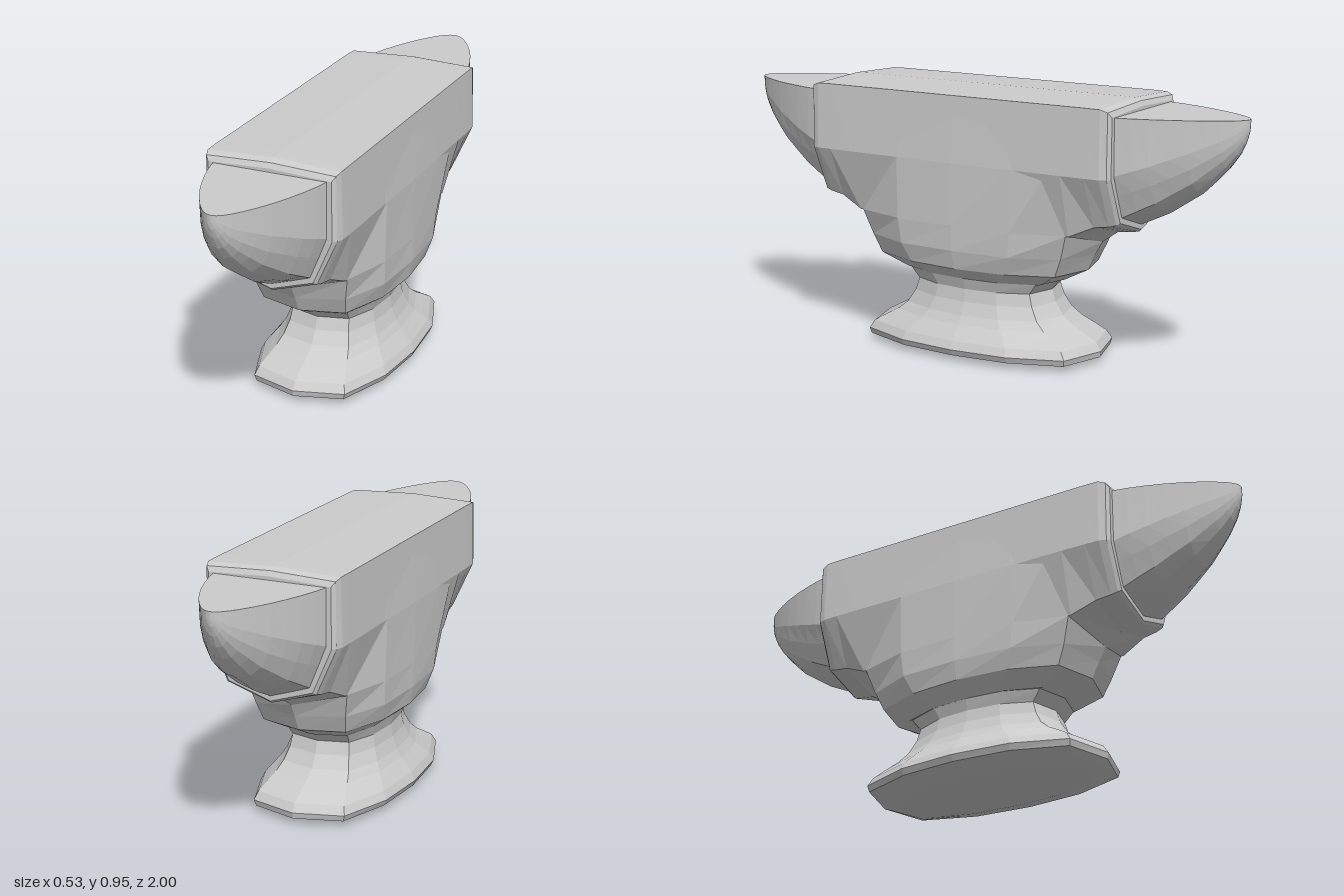
import * as THREE from 'three';

const material = new THREE.MeshStandardMaterial({ color: 0xcccccc, flatShading: true });

// Skin a list of closed rings of [x, y, z] points and cap both ends.
function loft(name, rings) {
  const n = rings[0].length, last = rings.length - 1;
  const pos = rings.flat(2), idx = [];
  for (let i = 0; i < last; i++) {
    for (let j = 0; j < n; j++) {
      const k = (j + 1) % n;
      const a = i * n + j, b = i * n + k, c = b + n, d = a + n;
      idx.push(a, b, c, a, c, d);
    }
  }
  for (const r of [0, last]) {
    const centre = pos.length / 3;
    for (let c = 0; c < 3; c++) pos.push(rings[r].reduce((s, p) => s + p[c], 0) / n);
    for (let j = 0; j < n; j++) {
      const a = r * n + j, b = r * n + (j + 1) % n;
      if (r === 0) idx.push(centre, b, a); else idx.push(centre, a, b);
    }
  }
  const g = new THREE.BufferGeometry();
  g.setAttribute('position', new THREE.Float32BufferAttribute(pos, 3));
  g.setIndex(idx);
  g.computeVertexNormals();
  const mesh = new THREE.Mesh(g, material);
  mesh.name = name;
  return mesh;
}

// Close a half ring (first and last point on x = 0) by mirroring it in x.
const mirrorX = half => [
  ...half,
  ...half.slice(1, -1).reverse().map(([x, y, z]) => [-x, y, z]),
];

// Twelve-sided horizontal ring from its front, corner, flank and side points.
function planRing(front, corner, flank, side) {
  const back = [flank, corner, front].map(([x, y, z]) => [x, y, -z]);
  return mirrorX([front, corner, flank, side, ...back]);
}
const footRing = ([y, x, z]) =>
  planRing([0, y, z], [x * 0.66, y, z * 0.89], [x * 0.93, y, z * 0.47], [x, y, 0]);

// Foot and neck: y, half width, half length
const FOOT = [
  [0.002, 0.17, 0.38], [0.01, 0.2, 0.42], [0.024, 0.255, 0.455], [0.046, 0.265, 0.46],
  [0.075, 0.25, 0.44], [0.1, 0.23, 0.395], [0.125, 0.21, 0.345], [0.155, 0.192, 0.305],
  [0.2, 0.174, 0.275], [0.245, 0.166, 0.26], [0.285, 0.178, 0.295],
];

// Waist that flares from the neck up into the block
const WAIST = [
  footRing([0.285, 0.178, 0.31]),
  footRing([0.333, 0.238, 0.405]),
  planRing([0, 0.39, 0.432], [0.17, 0.4, 0.39], [0.24, 0.4, 0.22], [0.252, 0.4, 0]),
  planRing([0, 0.44, 0.46], [0.19, 0.49, 0.42], [0.246, 0.49, 0.23], [0.254, 0.49, 0]),
  planRing([0, 0.71, 0.42], [0.243, 0.71, 0.37], [0.251, 0.71, 0.23], [0.255, 0.71, 0]),
  planRing([0, 0.93, 0.4], [0.23, 0.93, 0.35], [0.24, 0.93, 0.2], [0.241, 0.93, 0]),
];

// Block sections: z, bottom y, corner x, corner y, side x, top x, top y
const BLOCK = [
  [0.43, 0.44, 0.19, 0.49, 0.25, 0.242, 0.945],
  [0.52, 0.482, 0.174, 0.53, 0.249, 0.242, 0.945],
  [0.575, 0.489, 0.169, 0.538, 0.247, 0.241, 0.944],
  [0.6, 0.493, 0.164, 0.545, 0.238, 0.234, 0.935],
  [0.61, 0.502, 0.155, 0.552, 0.224, 0.222, 0.918],
];
const blockRing = (s, [z, by, cx, cy, sx, tx, ty]) => mirrorX([
  [0, by, s * (z < 0.5 ? z + 0.03 : z)],
  [cx, cy, s * z],
  [sx, 0.71, s * z],
  [tx, ty, s * z],
  [0, ty + 0.01, s * z],
]);

// Horn sections: z, half width, bottom y
const HORN = [
  [0.58, 0.208, 0.51], [0.61, 0.205, 0.52], [0.66, 0.194, 0.543], [0.72, 0.176, 0.572],
  [0.78, 0.154, 0.612], [0.84, 0.128, 0.652], [0.89, 0.102, 0.7], [0.93, 0.078, 0.742],
  [0.965, 0.053, 0.79], [0.985, 0.034, 0.83], [0.997, 0.016, 0.865], [1, 0.004, 0.885],
];
function hornRing([z, w, by]) {
  const top = 0.915, h = top - by;
  // The angular root section grows rounder toward the tip.
  const t = Math.min(1, Math.max(0, (z - 0.6) / 0.3));
  const mix = (a, b) => a + (b - a) * t;
  return mirrorX([
    [0, by, z],
    [w * mix(0.35, 0.4), by + h * mix(0.06, 0.06), z],
    [w * 0.7, by + h * mix(0.12, 0.2), z],
    [w * mix(0.86, 0.88), by + h * mix(0.32, 0.38), z],
    [w * mix(1, 0.97), by + h * mix(0.5, 0.6), z],
    [w, top, z],
    [0, top, z],
  ]);
}

export function createModel() {
  const model = new THREE.Group();
  model.name = 'anvil';

  model.add(loft('foot', FOOT.map(footRing)));
  model.add(loft('waist', WAIST));
  model.add(loft('block', [
    ...[...BLOCK].reverse().map(s => blockRing(-1, s)),
    ...BLOCK.map(s => blockRing(1, s)),
  ]));

  // Matching horns at both ends
  const frontHorn = loft('frontHorn', HORN.map(hornRing));
  const backHorn = frontHorn.clone();
  backHorn.name = 'backHorn';
  backHorn.rotation.y = Math.PI;
  model.add(frontHorn, backHorn);
  return model;
}
